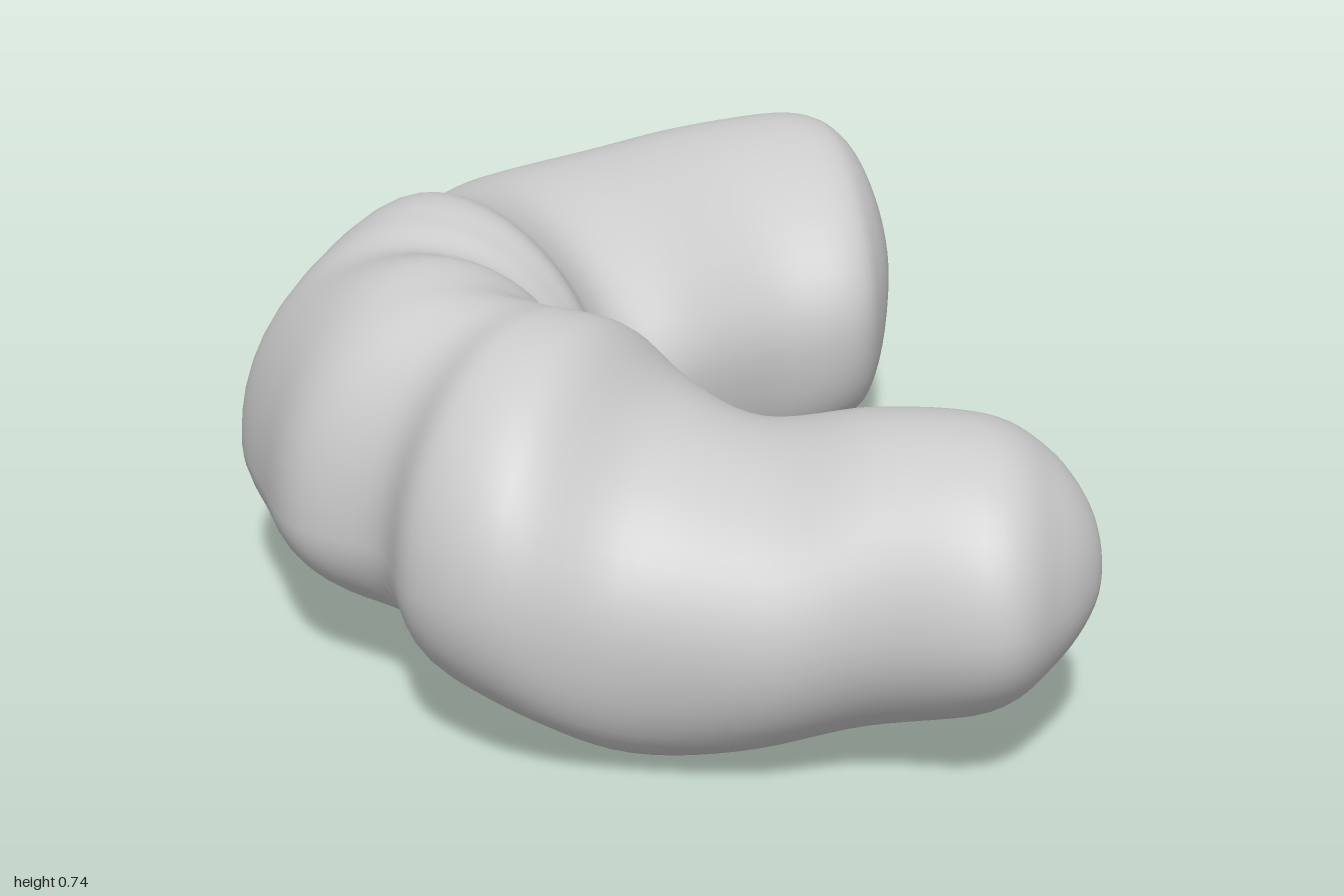
import * as THREE from 'three';

// Cross-sections along the curved body, from the back arm's tip to the front arm's tip:
// outer x, outer z, inner x, inner z, lowest y, highest y
const SECTIONS = [
  [0.70, -0.71, 0.70, -0.71, 0.38, 0.38],
  [0.67, -0.84, 0.675, -0.57, 0.25, 0.53],
  [0.62, -0.93, 0.62, -0.43, 0.14, 0.63],
  [0.52, -0.985, 0.55, -0.35, 0.10, 0.67],
  [0.30, -1.00, 0.38, -0.32, 0.05, 0.655],
  [0.08, -0.95, 0.18, -0.23, 0.06, 0.64],
  [-0.16, -0.91, 0.06, -0.20, 0.08, 0.62],
  [-0.33, -0.70, 0.00, -0.15, 0.11, 0.66],
  [-0.48, -0.50, -0.03, -0.09, 0.13, 0.735],
  [-0.61, -0.36, -0.05, -0.05, 0.14, 0.73],
  [-0.70, -0.22, -0.065, -0.01, 0.13, 0.71],
  [-0.695, 0.02, -0.07, 0.04, 0.13, 0.75],
  [-0.67, 0.22, -0.065, 0.09, 0.14, 0.74],
  [-0.54, 0.38, -0.04, 0.12, 0.13, 0.735],
  [-0.52, 0.58, 0.00, 0.12, 0.11, 0.745],
  [-0.40, 0.72, 0.05, 0.10, 0.08, 0.72],
  [-0.20, 0.76, 0.13, 0.10, 0.01, 0.61],
  [0.02, 0.86, 0.20, 0.22, 0.03, 0.575],
  [0.20, 0.91, 0.36, 0.37, 0.07, 0.63],
  [0.40, 1.00, 0.52, 0.45, 0.12, 0.635],
  [0.53, 0.93, 0.61, 0.52, 0.19, 0.57],
  [0.625, 0.83, 0.65, 0.63, 0.28, 0.48],
  [0.665, 0.73, 0.665, 0.73, 0.37, 0.37],
];

// Roundness at every second section: height of the widest line (0 to 1),
// then how far the top and the bottom ridge lean outwards
const LEAN = [
  [0.45, 0.20, -0.20], [0.45, 0.25, -0.25], [0.48, 0.30, -0.30], [0.50, 0.25, -0.25],
  [0.42, 0.10, -0.10], [0.33, 0, 0], [0.33, 0, 0], [0.40, -0.05, 0.10],
  [0.50, 0, 0.25], [0.50, 0, -0.10], [0.47, 0, -0.15], [0.50, 0, 0],
];

const smooth = points => new THREE.CatmullRomCurve3(
  points.map(p => new THREE.Vector3(...p)), false, 'catmullrom', 0.5);

// Smooth closed skin lofted through the rounded sections
function loftBody(rings, sides) {
  const outer = smooth(SECTIONS.map(s => [s[0], s[4], s[1]]));
  const inner = smooth(SECTIONS.map(s => [s[2], s[5], s[3]]));
  const lean = smooth(LEAN);
  const positions = [], index = [];
  for (let i = 0; i <= rings; i++) {
    const t = i / rings;
    const o = outer.getPoint(t), n = inner.getPoint(t), l = lean.getPoint(t);
    const low = o.y, high = n.y, mid = low + (high - low) * l.x;
    for (let j = 0; j < sides; j++) {
      const a = (j / sides) * Math.PI * 2;
      const c = Math.cos(a), up = Math.sin(a);
      const across = 0.5 + 0.5 * (c + (up > 0 ? l.y : l.z) * up * up);
      positions.push(
        n.x + (o.x - n.x) * across,
        mid + up * (up > 0 ? high - mid : mid - low),
        n.z + (o.z - n.z) * across);
      if (i < rings) {
        const k = (j + 1) % sides, p = i * sides, q = p + sides;
        index.push(p + j, q + j, p + k, q + j, q + k, p + k);
      }
    }
  }
  const geometry = new THREE.BufferGeometry();
  geometry.setAttribute('position', new THREE.Float32BufferAttribute(positions, 3));
  geometry.setIndex(index);
  geometry.computeVertexNormals();
  return geometry;
}

export function createModel() {
  const group = new THREE.Group();
  group.name = 'curvedLump';
  const grey = new THREE.MeshStandardMaterial({ color: 0xcccccc });
  grey.name = 'light grey';
  const body = new THREE.Mesh(loftBody(132, 48), grey);
  body.name = 'curvedBody';
  group.add(body);
  return group;
}
